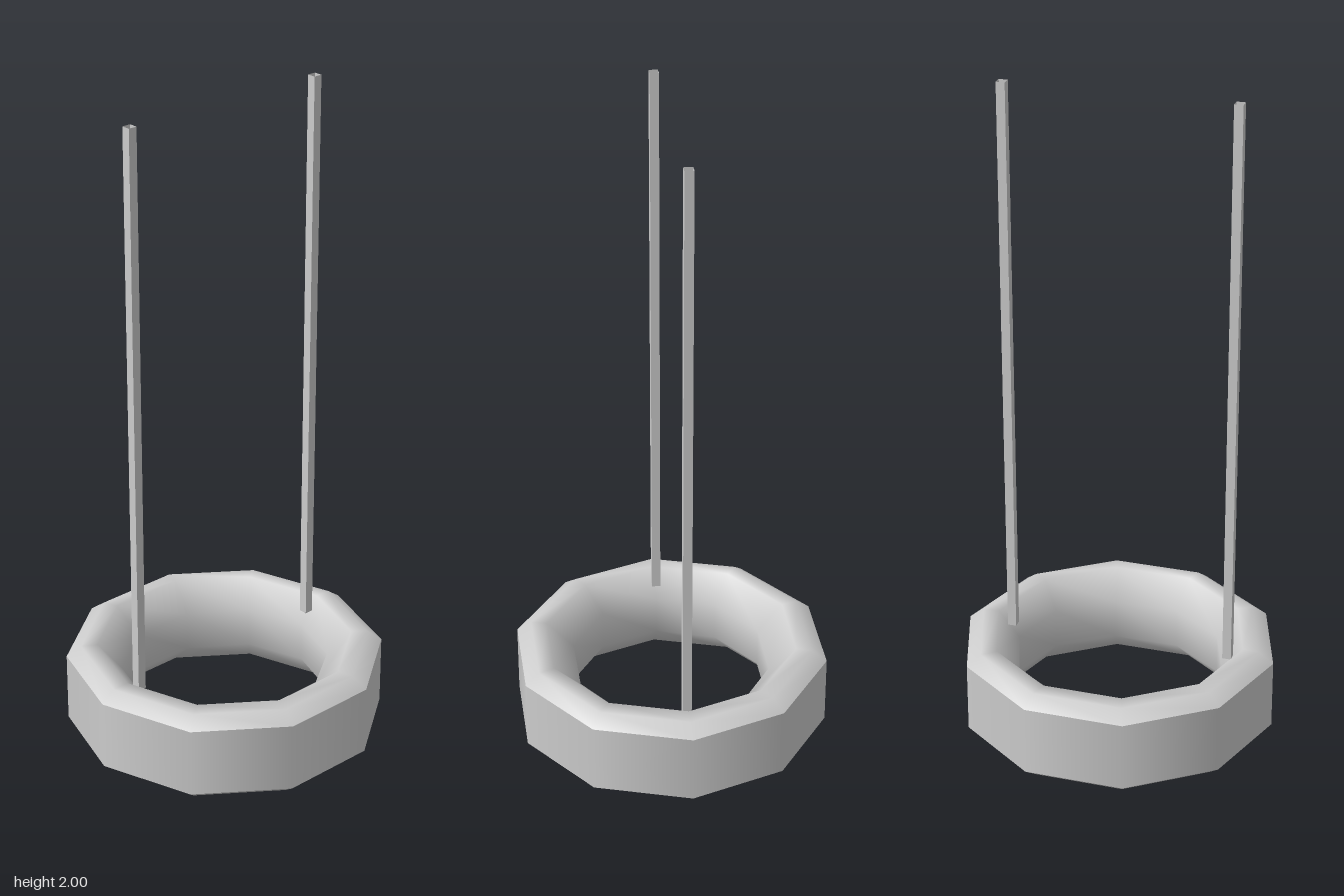
import * as THREE from 'three';

const SIDES = 10;
const TOP = 0.285;
const ROPE_BOTTOM = 0.25;

// Ten-sided ring with corners on +x and -x, from [radius, height] points
function ring(points) {
  return new THREE.LatheGeometry(points.map(([r, y]) => new THREE.Vector2(r, y)), SIDES, Math.PI / 2);
}

export function createModel() {
  const model = new THREE.Group();
  const grey = new THREE.MeshStandardMaterial({ color: 0xcccccc, side: THREE.DoubleSide });

  const add = (name, geometry, parent) => {
    const mesh = new THREE.Mesh(geometry, grey);
    mesh.name = name;
    parent.add(mesh);
    return mesh;
  };

  // Tyre seat: tread band, then sidewalls that roll smoothly into the hole
  const tyre = new THREE.Group();
  tyre.name = 'tyreSeat';
  model.add(tyre);
  add('tread', ring([[0.485, 0.035], [0.485, 0.25]]), tyre);

  const upper = [[0.485, 0.25], [0.44, 0.283], [0.39, TOP], [0.325, 0.205]];
  const lower = upper.map(([r, y]) => [r, TOP - y]).reverse();
  const body = ring([...upper, ...lower]);

  // The hole is slightly narrower from front to back than from side to side
  const pos = body.attributes.position;
  for (let i = 0; i < pos.count; i++) {
    if (Math.hypot(pos.getX(i), pos.getZ(i)) < 0.35) pos.setZ(i, pos.getZ(i) * 0.94);
  }
  body.computeBoundingSphere();
  add('sidewallsAndHole', body, tyre);

  // Two square, open-ended hanging ropes standing on the upper sidewall
  const rope = new THREE.CylinderGeometry(0.019, 0.019, 2 - ROPE_BOTTOM, 4, 1, true)
    .rotateY(Math.PI / 4).toNonIndexed();
  rope.computeVertexNormals();
  for (const side of [1, -1]) {
    add(side > 0 ? 'leftRope' : 'rightRope', rope, model)
      .position.set(side * 0.343, (2 + ROPE_BOTTOM) / 2, 0);
  }

  return model;
}
